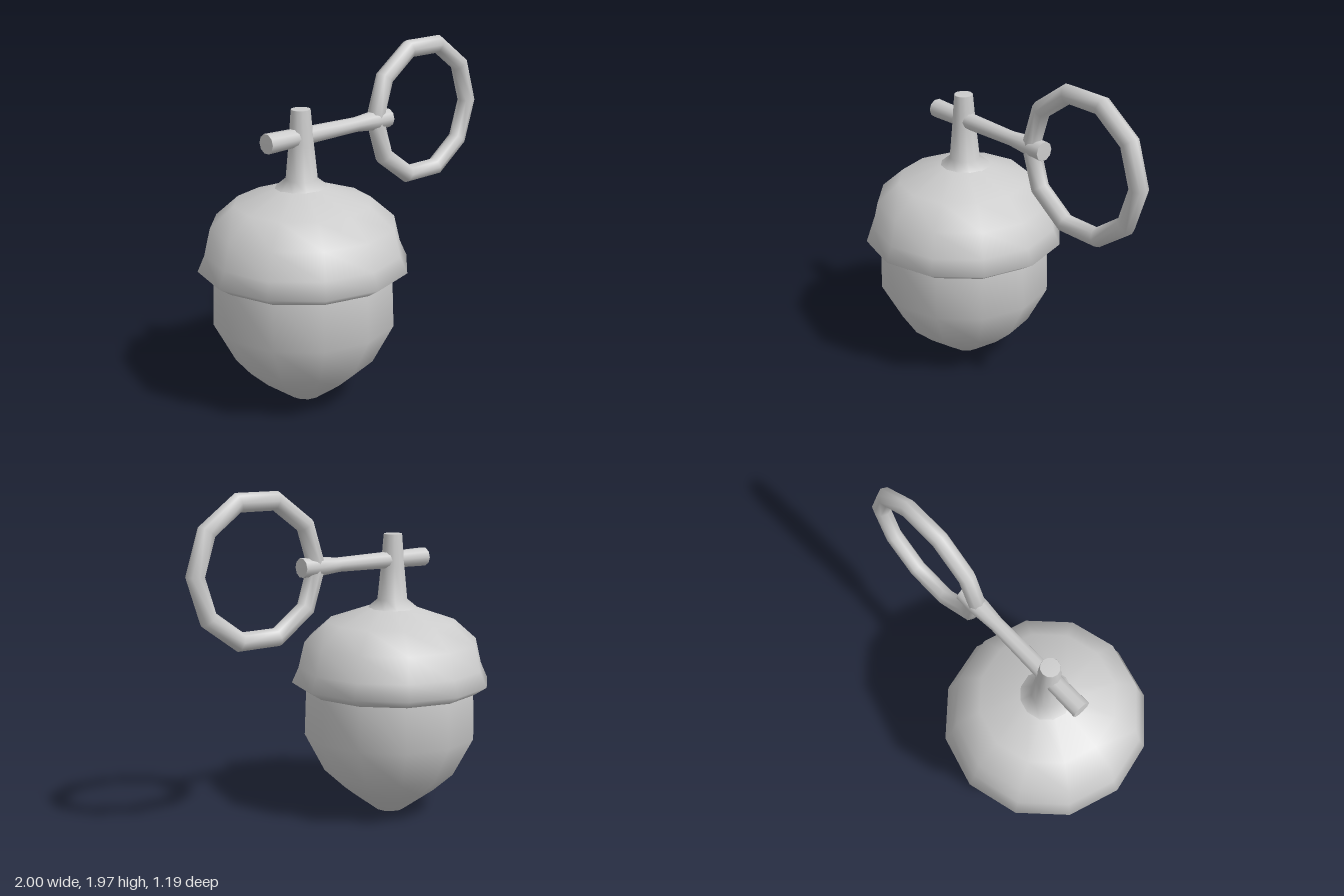
import * as THREE from 'three';

const material = new THREE.MeshStandardMaterial({ color: 0xcccccc });
const AXIS_X = -0.405; // centre line of the nut
const PIN_Y = 1.535; // height of the pin and ring centre
const PIN_Z = -0.01;

// Smooth turned part from [radius, height] pairs, listed bottom to top
function turned(name, profile, sides) {
  const points = profile.map(([r, y]) => new THREE.Vector2(r, y));
  const mesh = new THREE.Mesh(new THREE.LatheGeometry(points, sides), material);
  mesh.name = name;
  return mesh;
}

export function createModel() {
  const group = new THREE.Group();
  group.name = 'acornPendant';

  // Nut, tapering to a small blunt tip and running up inside the cap
  const nut = turned('nut', [
    [0, 0], [0.09, 0.01], [0.28, 0.15], [0.4, 0.26],
    [0.52, 0.49], [0.51, 0.77], [0.48, 0.9],
  ], 12);
  nut.position.x = AXIS_X;

  // Domed cap with a flared rim and an underside
  const cap = turned('cap', [
    [0.46, 0.77], [0.52, 0.76], [0.595, 0.81], [0.555, 0.9], [0.52, 1.05],
    [0.385, 1.17], [0.14, 1.255], [0.07, 1.27],
  ], 12);
  cap.position.x = AXIS_X;

  // Stem flaring into the cap, flat on top
  const stem = turned('stem', [
    [0.15, 1.25], [0.09, 1.3], [0.07, 1.5], [0.055, 1.685], [0.053, 1.688], [0, 1.688],
  ], 12);
  stem.position.set(AXIS_X, 0, PIN_Z);

  // Horizontal pin through the stem, slimmer in the middle
  const pin = turned('pin', [
    [0, -0.65], [0.055, -0.65], [0.056, -0.648], [0.05, -0.4], [0.042, 0],
    [0.055, 0.14], [0.056, 0.258], [0.055, 0.26], [0, 0.26],
  ], 10);
  pin.rotation.z = -Math.PI / 2;
  pin.position.set(0, PIN_Y, PIN_Z);

  // Ten-sided ring held by the pin
  const ring = new THREE.Mesh(new THREE.TorusGeometry(0.393, 0.055, 8, 10), material);
  ring.name = 'ring';
  ring.scale.z = 0.9;
  ring.position.set(0.55, PIN_Y + 0.005, PIN_Z);

  group.add(nut, cap, stem, pin, ring);
  return group;
}
